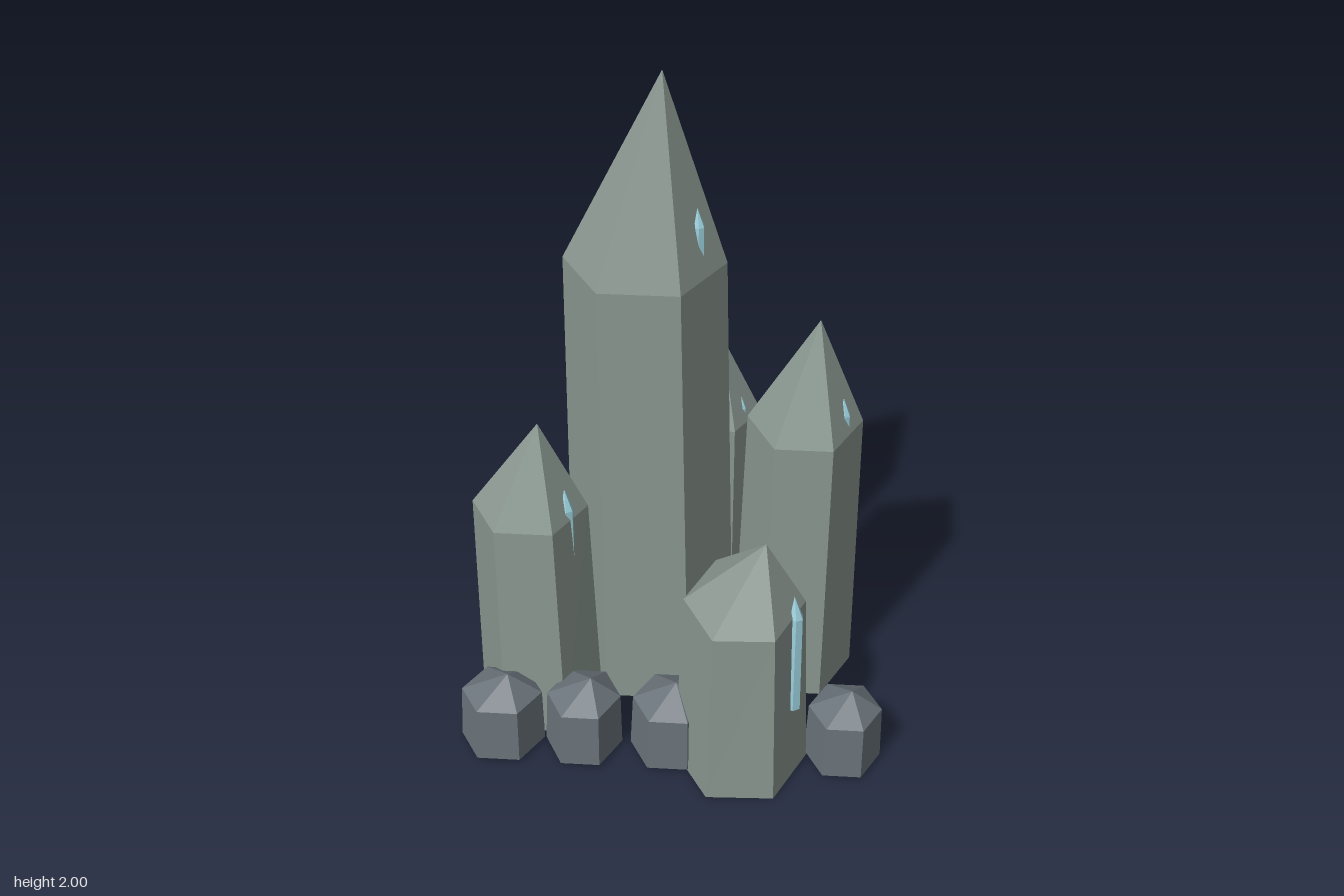
import * as THREE from 'three';

const SIDES = 6;

// Six-sided crystal: base ring, shoulder ring and a pointed apex.
// A ring is [centreX, y, centreZ, radiusX, radiusZ]; the apex is [x, y, z].
function crystal(name, material, base, shoulder, apex, turn = 0) {
  const corner = ([cx, y, cz, rx, rz], i) => {
    const a = turn + (i / SIDES) * Math.PI * 2;
    return [cx + rx * Math.cos(a), y, cz + rz * Math.sin(a)];
  };
  const points = [];
  for (let i = 0; i < SIDES; i++) {
    const b0 = corner(base, i), b1 = corner(base, i + 1);
    const s0 = corner(shoulder, i), s1 = corner(shoulder, i + 1);
    points.push(b0, s0, b1, b1, s0, s1); // wall
    points.push(s0, apex, s1); // roof
    points.push(base.slice(0, 3), b0, b1); // underside
  }
  const geometry = new THREE.BufferGeometry();
  geometry.setAttribute('position', new THREE.Float32BufferAttribute(points.flat(), 3));
  geometry.computeVertexNormals(); // unshared corners keep facets flat
  const mesh = new THREE.Mesh(geometry, material);
  mesh.name = name;
  return mesh;
}

export function createModel() {
  const stone = new THREE.MeshStandardMaterial({ color: 0x8b9891 });
  stone.name = 'grey green stone';
  const rock = new THREE.MeshStandardMaterial({ color: 0x6b747b });
  rock.name = 'slate rock';
  const glow = new THREE.MeshStandardMaterial({ color: 0x9cd0dd });
  glow.name = 'pale blue glass';

  const model = new THREE.Group();
  model.name = 'crystalSpires';

  // Spires, slightly tapered and leaning, each with a slit window on its front left face
  // window: [x, z, radius, bottom y, top y]
  const spires = [
    { name: 'mainSpire', base: [-0.087, 0, -0.075, 0.25, 0.25], shoulder: [-0.1, 1.42, -0.06, 0.23, 0.23],
      apex: [-0.047, 2, -0.035], window: [0.055, 0.008, 0.018, 1.3, 1.62] },
    { name: 'leftSpire', base: [0.348, 0, -0.092, 0.183, 0.209], shoulder: [0.362, 0.9, -0.085, 0.168, 0.196],
      apex: [0.395, 1.25, -0.055], window: [0.475, -0.025, 0.018, 0.75, 1.01] },
    { name: 'frontSpire', base: [0.21, 0, 0.37, 0.195, 0.217], shoulder: [0.213, 0.58, 0.372, 0.172, 0.21],
      apex: [0.27, 0.8, 0.4], window: [0.36, 0.432, 0.023, 0.25, 0.645], turn: -0.04 },
    { name: 'rightSpire', base: [-0.407, 0, 0.147, 0.182, 0.197], shoulder: [-0.42, 0.72, 0.147, 0.168, 0.175],
      apex: [-0.385, 1.015, 0.175], window: [-0.305, 0.209, 0.022, 0.5, 0.815] },
    { name: 'backSpire', base: [0.068, 0, -0.423, 0.157, 0.162], shoulder: [0.075, 0.7, -0.425, 0.148, 0.15],
      apex: [0.1, 0.978, -0.398], window: [0.168, -0.37, 0.013, 0.6, 0.78] },
  ];
  for (const { name, base, shoulder, apex, window: [x, z, r, y0, y1], turn } of spires) {
    model.add(crystal(name, stone, base, shoulder, apex, turn));
    model.add(crystal(name + 'Window', glow, [x, y0, z, r, r],
      [x, y1 - r * 3, z, r * 0.9, r * 0.9], [x - r * 0.3, y1, z - r * 0.2], Math.PI / 6));
  }

  // Row of low rocks along the front: [x, radiusX, radiusZ, apexX]
  const rocks = [
    [-0.5, 0.125, 0.123, -0.475],
    [-0.257, 0.114, 0.128, -0.23],
    [0.0, 0.118, 0.128, 0.02],
    [0.51, 0.112, 0.121, 0.53],
  ];
  rocks.forEach(([x, rx, rz, apexX], i) => {
    model.add(crystal('frontRock' + (i + 1), rock, [x, 0.01, 0.353, rx, rz],
      [x + 0.003, 0.185, 0.354, rx * 0.95, rz * 0.95], [apexX, 0.26, 0.368]));
  });

  return model;
}
